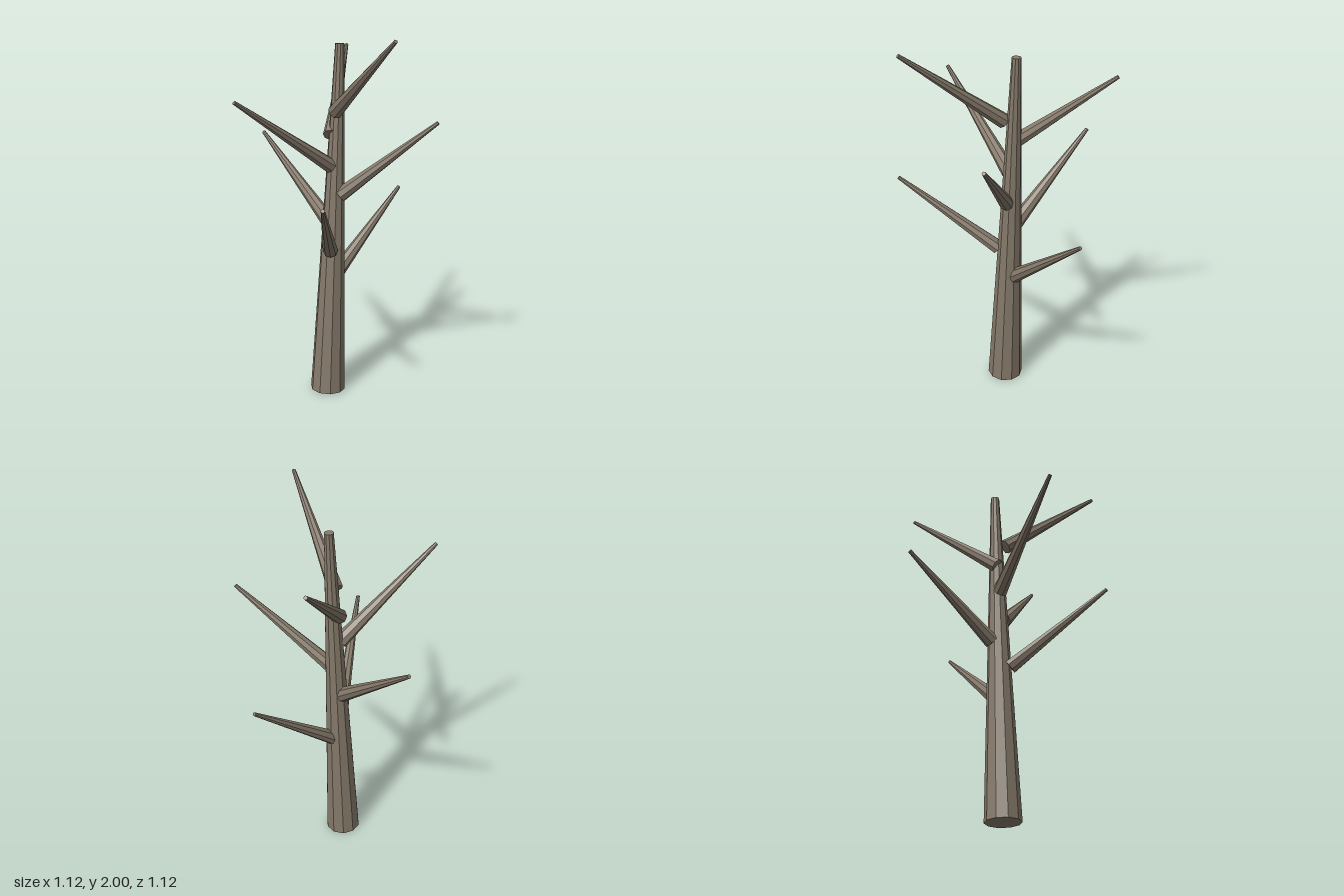
import * as THREE from 'three';

const bark = new THREE.MeshStandardMaterial({ color: 0x85796a, flatShading: true });
const UP = new THREE.Vector3(0, 1, 0);

// Tapered faceted limb between two points
function limb(name, from, to, r0, r1, sides) {
  const a = new THREE.Vector3(...from);
  const b = new THREE.Vector3(...to);
  const dir = b.clone().sub(a);
  const geometry = new THREE.CylinderGeometry(r1, r0, dir.length(), sides);
  const mesh = new THREE.Mesh(geometry, bark);
  mesh.name = name;
  mesh.position.copy(a).add(b).multiplyScalar(0.5);
  mesh.quaternion.setFromUnitVectors(UP, dir.normalize());
  return mesh;
}

export function createModel() {
  const tree = new THREE.Group();
  tree.name = 'bareTree';

  // Slightly leaning trunk
  tree.add(limb('trunk', [-0.005, 0.005, 0], [0.08, 1.91, 0], 0.095, 0.024, 10));

  // Branches spiralling up the trunk: base, tip
  const branches = [
    [[0.065, 0.675, 0], [0.555, 1.06, 0]],
    [[-0.02, 0.83, 0.035], [-0.413, 1.215, 0.385]],
    [[0.033, 0.975, -0.045], [0.035, 1.37, -0.555]],
    [[0.05, 1.125, 0.038], [0.35, 1.527, 0.437]],
    [[0.02, 1.28, -0.005], [-0.557, 1.683, -0.072]],
    [[0.03, 1.44, -0.015], [0.452, 1.837, -0.32]],
    [[0.02, 1.572, 0.03], [-0.115, 1.99, 0.553]],
  ];
  branches.forEach(([from, to], i) => {
    tree.add(limb(`branch${i + 1}`, from, to, 0.04, 0.01, 8));
  });

  return tree;
}
